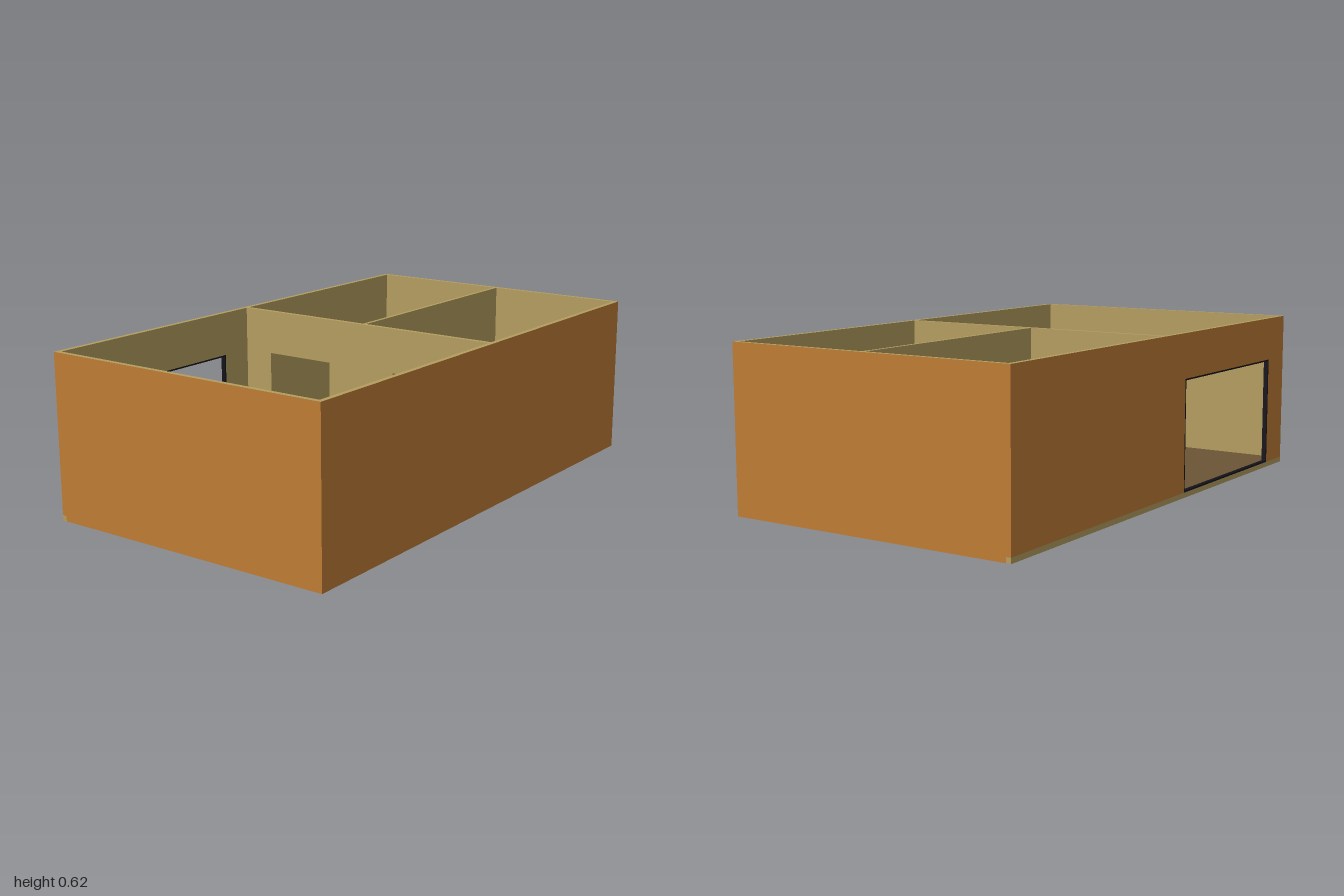
import * as THREE from 'three';

const orange = new THREE.MeshStandardMaterial({ color: 0xbf7c34 });
orange.name = 'orangeCladding';
const khaki = new THREE.MeshStandardMaterial({ color: 0xb49d5f });
khaki.name = 'khakiPlaster';
const brown = new THREE.MeshStandardMaterial({ color: 0x6d5536 });
brown.name = 'brownFlooring';
const black = new THREE.MeshStandardMaterial({ color: 0x14121a });
black.name = 'blackFrame';

const HX = 1, HZ = 0.58, H = 0.615, T = 0.018; // half sizes, wall height, wall thickness
const FLOOR = 0.02, HEAD = 0.446;              // floor level and head of the openings

export function createModel() {
  const model = new THREE.Group();
  model.name = 'openHouse';

  // Box from its limits; painted maps a face index (+x -x +y -y +z -z) to its own material
  function slab(name, [x0, x1], [y0, y1], [z0, z1], base, painted = {}, parent = model) {
    const geometry = new THREE.BoxGeometry(x1 - x0, y1 - y0, z1 - z0);
    const materials = [0, 1, 2, 3, 4, 5].map(i => painted[i] || base);
    const mesh = new THREE.Mesh(geometry, materials);
    mesh.position.set((x0 + x1) / 2, (y0 + y1) / 2, (z0 + z1) / 2);
    mesh.name = name;
    parent.add(mesh);
  }

  // Floor, with its edge exposed along the back
  const inner = HX - T;
  slab('floor', [-inner, inner], [0, FLOOR], [-HZ + T, HZ - T], khaki, { 2: brown });
  slab('floorEdge', [-HX, HX], [0, FLOOR], [-HZ, -HZ + T], khaki, { 2: brown });

  // Front and side walls: cladding outside, plaster inside and on top
  slab('frontWall', [-HX, HX], [0, H], [HZ - T, HZ], khaki, { 0: orange, 1: orange, 4: orange });
  slab('leftWall', [inner, HX], [0, H], [-HZ + T, HZ - T], khaki, { 0: orange });
  slab('rightWall', [-HX, -inner], [0, H], [-HZ + T, HZ - T], khaki, { 1: orange });

  // Back wall around the wide opening
  const W0 = -0.86, W1 = -0.13, back = [-HZ, -HZ + T];
  const backWall = new THREE.Group();
  backWall.name = 'backWall';
  model.add(backWall);
  const clad = { 0: orange, 1: orange, 5: orange };
  slab('narrowPier', [-HX, W0], [FLOOR, H], back, khaki, { 1: orange, 5: orange }, backWall);
  slab('widePier', [W1, HX], [FLOOR, H], back, khaki, clad, backWall);
  slab('lintel', [W0, W1], [HEAD, H], back, khaki, { 5: orange }, backWall);

  // Thin black lining of the opening
  const F = 0.006;
  const frame = new THREE.Group();
  frame.name = 'openingFrame';
  model.add(frame);
  slab('jamb', [W0, W0 + F], [FLOOR, HEAD], back, black, {}, frame);
  slab('jamb', [W1 - F, W1], [FLOOR, HEAD], back, black, {}, frame);
  slab('head', [W0 + F, W1 - F], [HEAD - F, HEAD], back, black, {}, frame);
  slab('sill', [W0 + F, W1 - F], [FLOOR, FLOOR + F], back, black, {}, frame);

  // Long partition with two doorways, drawn in z and y
  const end = HZ - T;
  const outline = [[-end, FLOOR]];
  for (const [a, b] of [[-0.44, -0.148], [0.148, 0.44]]) {
    outline.push([a, FLOOR], [a, HEAD], [b, HEAD], [b, FLOOR]);
  }
  outline.push([end, FLOOR], [end, H], [-end, H]);
  const shape = new THREE.Shape(outline.map(p => new THREE.Vector2(...p)));
  const geometry = new THREE.ExtrudeGeometry(shape, { depth: T, bevelEnabled: false });
  const partition = new THREE.Mesh(geometry.rotateY(-Math.PI / 2), khaki);
  partition.position.x = 0.02;
  partition.name = 'doorwayPartition';
  model.add(partition);

  // Short partition between the two small rooms
  slab('roomPartition', [0.02, inner], [FLOOR, H], [0, 0.014], khaki);

  return model;
}
